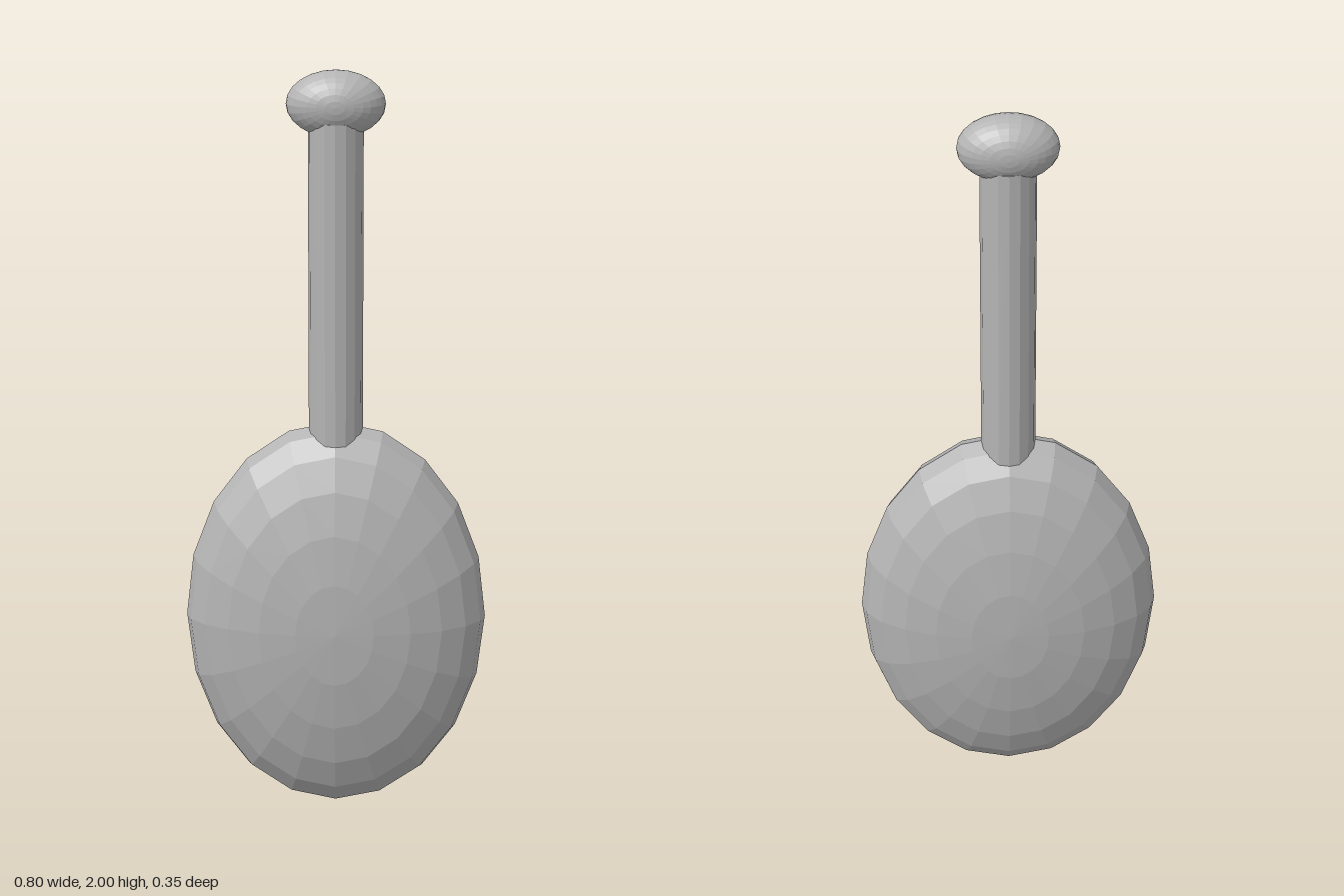
import * as THREE from 'three';

export function createModel() {
  const model = new THREE.Group();
  const grey = new THREE.MeshStandardMaterial({ color: 0xb4b4b4, flatShading: true });
  grey.name = 'plain grey';

  const add = (name, geometry, y) => {
    const mesh = new THREE.Mesh(geometry, grey);
    mesh.name = name;
    mesh.position.y = y;
    model.add(mesh);
  };

  // Faceted ellipsoid with its poles facing front and back
  const ellipsoid = (rx, ry, rz, around, rings) =>
    new THREE.SphereGeometry(1, around, rings).rotateX(Math.PI / 2).scale(rx, ry, rz);

  // Flattened oval body
  add('body', ellipsoid(0.4, 0.538, 0.175, 20, 12), 0.54);

  // Straight neck, sunk into the body and the knob
  add('neck', new THREE.CylinderGeometry(0.071, 0.071, 0.88, 16), 1.43);

  // Wide rounded knob on top
  add('knob', ellipsoid(0.127, 0.086, 0.079, 24, 16), 1.914);

  return model;
}
